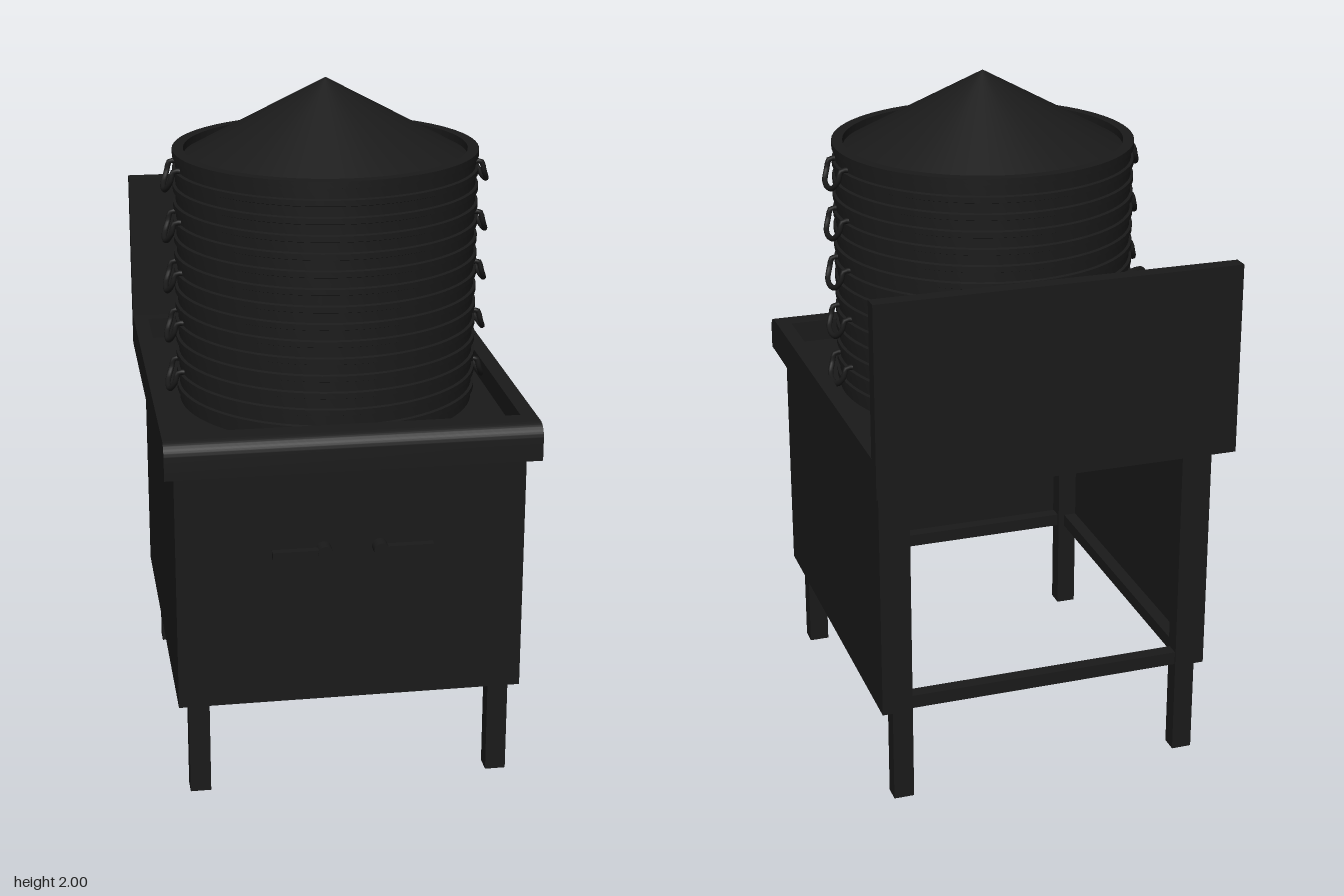
import * as THREE from 'three';
import { toCreasedNormals } from 'three/addons/utils/BufferGeometryUtils.js';

const mat = new THREE.MeshStandardMaterial({ color: 0x1a1a1a });
const matDouble = new THREE.MeshStandardMaterial({ color: 0x1a1a1a, side: THREE.DoubleSide });

function add(parent, name, geometry, material = mat) {
  const mesh = new THREE.Mesh(geometry, material);
  mesh.name = name;
  parent.add(mesh);
  return mesh;
}

// Box given by its minimum and maximum on each axis
function box(parent, name, x0, x1, y0, y1, z0, z1) {
  const mesh = add(parent, name, new THREE.BoxGeometry(x1 - x0, y1 - y0, z1 - z0));
  mesh.position.set((x0 + x1) / 2, (y0 + y1) / 2, (z0 + z1) / 2);
  return mesh;
}

function tube(parent, name, points, radius, segments = 24) {
  const curve = new THREE.CatmullRomCurve3(points.map((p) => new THREE.Vector3(...p)), false, 'centripetal');
  return add(parent, name, new THREE.TubeGeometry(curve, segments, radius, 10), matDouble);
}

function makeCabinet() {
  const g = new THREE.Group();
  g.name = 'cabinet';
  box(g, 'frontPanel', -0.5, 0.5, 0.285, 1.01, 0.54, 0.56);
  for (const s of [-1, 1]) {
    const side = box(g, 'sidePanel', 0.47, 0.5, 0.285, 1.01, -0.53, 0.54);
    side.position.x *= s;
    // Legs run up to the worktop
    const front = box(g, 'frontLeg', 0.41, 0.47, 0, 1.01, 0.485, 0.54);
    const back = box(g, 'backLeg', 0.41, 0.47, 0, 1.01, -0.53, -0.478);
    const rail = box(g, 'sideRail', 0.43, 0.47, 0.29, 0.33, -0.48, 0.49);
    for (const m of [front, back, rail]) m.position.x *= s;

    // Door handle: round boss with a flat lever pointing outwards
    const boss = add(g, 'handleBoss', new THREE.CylinderGeometry(0.022, 0.022, 0.04, 24));
    boss.rotation.x = Math.PI / 2;
    boss.position.set(s * 0.08, 0.755, 0.58);
    const lever = box(g, 'handleLever', 0.08, 0.23, 0.745, 0.766, 0.575, 0.597);
    lever.position.x *= s;
  }
  box(g, 'backRail', -0.41, 0.41, 0.29, 0.33, -0.525, -0.485);
  box(g, 'frontRail', -0.41, 0.41, 0.29, 0.33, 0.495, 0.535);
  return g;
}

function makeWorktop() {
  const g = new THREE.Group();
  g.name = 'worktop';
  box(g, 'basinFloor', -0.485, 0.485, 1.01, 1.05, -0.54, 0.53);
  box(g, 'leftRim', 0.485, 0.53, 1.01, 1.115, -0.54, 0.53);
  box(g, 'rightRim', -0.53, -0.485, 1.01, 1.115, -0.54, 0.53);
  box(g, 'backRim', -0.53, 0.53, 1.01, 1.115, -0.58, -0.54);
  box(g, 'backsplash', -0.53, 0.53, 1.01, 1.57, -0.625, -0.58);

  // Front lip with a rounded upper edge, swept across the width
  const lip = new THREE.Shape();
  lip.moveTo(-0.53, 1.01);
  lip.lineTo(-0.53, 1.115);
  lip.lineTo(-0.585, 1.115);
  lip.absarc(-0.585, 1.075, 0.04, Math.PI / 2, Math.PI, false);
  lip.lineTo(-0.625, 1.01);
  const geo = new THREE.ExtrudeGeometry(lip, { depth: 1.06, bevelEnabled: false, curveSegments: 10 });
  geo.rotateY(Math.PI / 2);
  geo.translate(-0.53, 0, 0);
  add(g, 'frontLip', toCreasedNormals(geo, 0.6));
  return g;
}

function makeSteamer() {
  const g = new THREE.Group();
  g.name = 'steamer';
  g.position.set(0, 1.05, 0.065);
  const layerHeight = 0.15;

  // Each basket is ringed by three raised hoops
  const profile = [];
  for (let i = 0; i < 3; i++) {
    const y = i * 0.05;
    profile.push([0.434, y], [0.434, y + 0.028], [0.442, y + 0.031], [0.442, y + 0.047], [0.434, y + 0.05]);
  }
  const points = profile
    .filter((p, i) => i === 0 || p[1] !== profile[i - 1][1])
    .map((p) => new THREE.Vector2(...p));
  const basketGeo = toCreasedNormals(new THREE.LatheGeometry(points, 72), 0.4);

  for (let i = 0; i < 5; i++) {
    const basket = add(g, 'basket', basketGeo, matDouble);
    basket.position.y = i * layerHeight;
    const top = (i + 1) * layerHeight;
    for (const s of [-1, 1]) {
      // Drooping U-shaped carrying handle
      tube(g, 'basketHandle', [
        [s * 0.425, top - 0.045, -0.068], [s * 0.445, top - 0.045, -0.068],
        [s * 0.455, top - 0.075, -0.066], [s * 0.466, top - 0.1, -0.045],
        [s * 0.47, top - 0.108, 0],
        [s * 0.466, top - 0.1, 0.045], [s * 0.455, top - 0.075, 0.066],
        [s * 0.445, top - 0.045, 0.068], [s * 0.425, top - 0.045, 0.068],
      ], 0.008);
    }
  }

  // Rim standing around the conical lid
  const rim = [[0.41, 0.72], [0.41, 0.75], [0.442, 0.75], [0.442, 0.73]].map((p) => new THREE.Vector2(...p));
  add(g, 'topRim', toCreasedNormals(new THREE.LatheGeometry(rim, 72), 0.4), matDouble);
  const lid = add(g, 'lid', new THREE.ConeGeometry(0.41, 0.222, 72, 1, true), matDouble);
  lid.position.y = 0.728 + 0.111;
  return g;
}

function makeTap() {
  const g = new THREE.Group();
  g.name = 'tap';
  const base = add(g, 'tapBase', new THREE.CylinderGeometry(0.042, 0.042, 0.03, 24));
  base.rotation.x = Math.PI / 2;
  base.position.set(-0.085, 1.48, -0.565);
  tube(g, 'tapSpout', [
    [-0.085, 1.505, -0.565], [-0.15, 1.505, -0.52], [-0.305, 1.505, -0.4],
    [-0.328, 1.495, -0.38], [-0.333, 1.47, -0.377], [-0.333, 1.45, -0.377],
  ], 0.011, 32);
  const nozzle = add(g, 'tapNozzle', new THREE.CylinderGeometry(0.016, 0.018, 0.04, 20));
  nozzle.position.set(-0.333, 1.455, -0.377);
  return g;
}

export function createModel() {
  const model = new THREE.Group();
  model.name = 'steamerStove';
  model.add(makeCabinet(), makeWorktop(), makeSteamer(), makeTap());
  return model;
}
